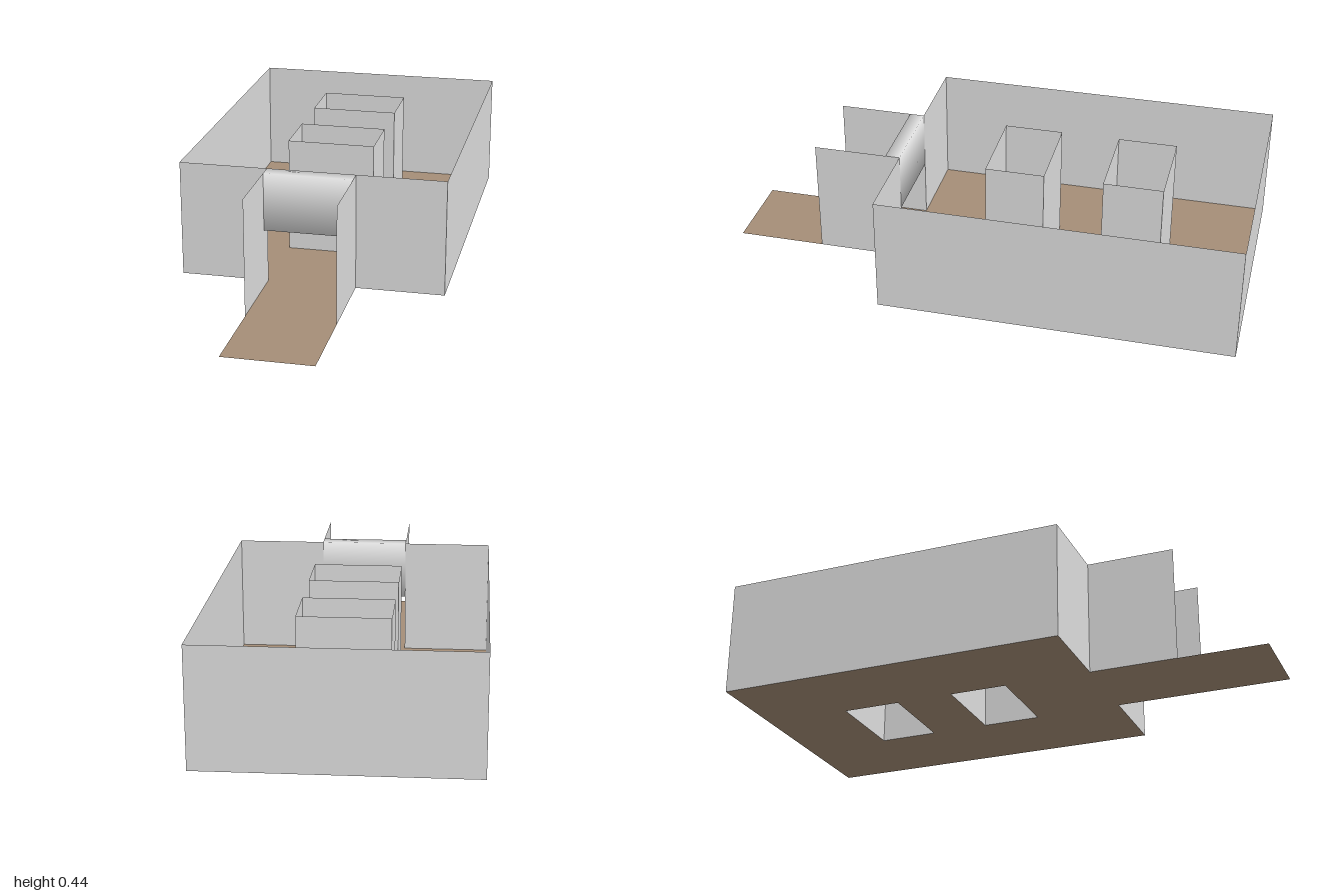
import * as THREE from 'three';

const H = 0.444;                 // wall height
const S = 1 / 6;                 // half width of passage, shafts and door
const BACK = -1, FRONT = 1 / 3, HALF = 0.5;

const wallPaint = new THREE.MeshStandardMaterial({ color: 0xe0e0e0, side: THREE.DoubleSide });
wallPaint.name = 'wallPaint';
const floorBrown = new THREE.MeshStandardMaterial({ color: 0xa58e77, side: THREE.DoubleSide });
floorBrown.name = 'floorBrown';

// Thin upright walls following a list of [x, z] points
function walls(name, points) {
  const group = new THREE.Group();
  group.name = name;
  for (let i = 0; i + 1 < points.length; i++) {
    const [x0, z0] = points[i], [x1, z1] = points[i + 1];
    const dx = x1 - x0, dz = z1 - z0;
    const panel = new THREE.Mesh(new THREE.PlaneGeometry(Math.hypot(dx, dz), H), wallPaint);
    panel.name = name + 'Panel';
    panel.position.set((x0 + x1) / 2, H / 2, (z0 + z1) / 2);
    panel.rotation.y = Math.atan2(-dz, dx);
    group.add(panel);
  }
  return group;
}

// Flat floor with a passage strip and two shaft holes
function floor(shafts) {
  const outline = [[-HALF, BACK], [-HALF, FRONT], [-S, FRONT], [-S, 1], [S, 1], [S, FRONT], [HALF, FRONT], [HALF, BACK]];
  const shape = new THREE.Shape(outline.map(([x, z]) => new THREE.Vector2(x, -z)));
  for (const [z0, z1] of shafts) {
    shape.holes.push(new THREE.Path([[-S, z0], [S, z0], [S, z1], [-S, z1]].map(([x, z]) => new THREE.Vector2(x, -z))));
  }
  const mesh = new THREE.Mesh(new THREE.ShapeGeometry(shape).rotateX(-Math.PI / 2), floorBrown);
  mesh.name = 'floor';
  return mesh;
}

// Raised door: a four-sided sleeve with softly blended edges
function door() {
  const y0 = H / 2, z1 = FRONT + 0.055, n = Math.SQRT1_2;
  const ring = [[H, z1, n, n], [y0, z1, -n, n], [y0, FRONT, -n, -n], [H, FRONT, n, -n]];
  const pos = [], nor = [], index = [];
  ring.forEach(([y, z, ny, nz], i) => {
    for (const x of [-S, S]) {
      pos.push(x, y, z);
      nor.push(0, ny, nz);
    }
    const a = i * 2, b = ((i + 1) % 4) * 2;
    index.push(a, b, b + 1, a, b + 1, a + 1);
  });
  const geo = new THREE.BufferGeometry();
  geo.setAttribute('position', new THREE.Float32BufferAttribute(pos, 3));
  geo.setAttribute('normal', new THREE.Float32BufferAttribute(nor, 3));
  geo.setIndex(index);
  const mesh = new THREE.Mesh(geo, wallPaint);
  mesh.name = 'raisedDoor';
  return mesh;
}

export function createModel() {
  const model = new THREE.Group();
  model.name = 'openRoom';
  const shafts = [[-0.667, -0.444], [-0.222, 0]];

  model.add(floor(shafts));
  // Outer walls, open at the doorway, running on into the passage
  model.add(walls('outerWall', [[-S, 0.667], [-S, FRONT], [-HALF, FRONT], [-HALF, BACK],
    [HALF, BACK], [HALF, FRONT], [S, FRONT], [S, 0.667]]));
  // Inner shafts around the floor holes
  for (const [z0, z1] of shafts) {
    model.add(walls('innerShaft', [[-S, z0], [-S, z1], [S, z1], [S, z0], [-S, z0]]));
  }
  model.add(door());
  return model;
}
